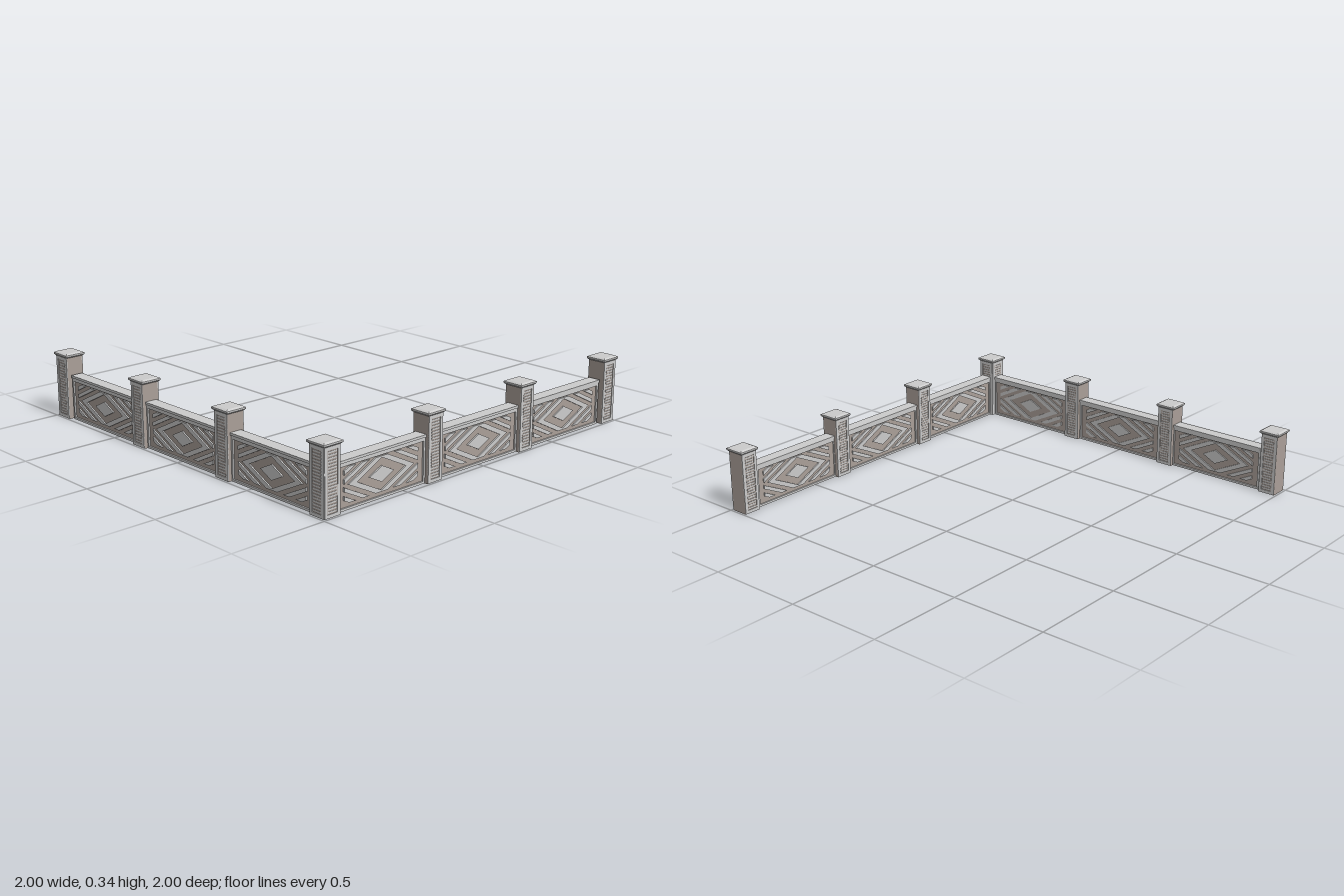
import * as THREE from 'three';
import { mergeGeometries } from 'three/addons/utils/BufferGeometryUtils.js';

const trim = new THREE.MeshStandardMaterial({ color: 0xcccccc, flatShading: true });
const stone = new THREE.MeshStandardMaterial({ color: 0xaa9f98, flatShading: true });

const box = (w, h, d, x, y, z) => new THREE.BoxGeometry(w, h, d).translate(x, y, z);

function part(parent, name, geometries, material) {
  const mesh = new THREE.Mesh(mergeGeometries(geometries), material);
  mesh.name = name;
  parent.add(mesh);
  return mesh;
}

// Four bars around an opening, lying on the plane z
function frame(w, y0, y1, bar, depth, z) {
  const mid = (y0 + y1) / 2;
  return [
    box(w, bar, depth, 0, y0 + bar / 2, z),
    box(w, bar, depth, 0, y1 - bar / 2, z),
    ...[-1, 1].map(s => box(bar, y1 - y0 - 2 * bar, depth, s * (w - bar) / 2, mid, z)),
  ];
}

// Quarter of a diamond band a < x + 2y < b, clipped to a rectangle
function bandQuarter(a, b, W, H, sx, sy) {
  const top = c => { const y = Math.min(H, c / 2); return [c - 2 * y, y]; };
  const side = c => { const x = Math.min(W, c); return [x, (c - x) / 2]; };
  const pts = [top(a)];
  if (a / 2 < H && b / 2 > H) pts.push([0, H]);
  pts.push(top(b), side(b));
  if (a < W && b > W) pts.push([W, 0]);
  if (a > 0) pts.push(side(a));
  return new THREE.Shape(pts.map(([x, y]) => new THREE.Vector2(x * sx, y * sy)));
}

// Carved diamond relief for one panel face
function diamondRelief() {
  const bands = [[0, 0.075], [0.15, 0.2], [0.24, 0.28], [0.32, 0.36]];
  const shapes = [];
  for (const [a, b] of bands)
    for (const sx of [-1, 1])
      for (const sy of [-1, 1]) shapes.push(bandQuarter(a, b, 0.225, 0.082, sx, sy));
  return new THREE.ExtrudeGeometry(shapes, { depth: 0.008, bevelEnabled: false })
    .translate(0, 0.112, 0.018);
}

function createPanel(w) {
  const panel = new THREE.Group();
  panel.name = 'panel';
  part(panel, 'panelCore', [box(w, 0.213, 0.038, 0, 0.1065, 0)], stone);
  part(panel, 'topRail', [
    box(w, 0.012, 0.064, 0, 0.224, 0),
    box(w, 0.007, 0.056, 0, 0.2145, 0),
  ], trim);
  for (const turn of [0, Math.PI]) {
    part(panel, 'panelBorder', frame(w, 0, 0.211, 0.011, 0.009, 0.0225), trim).rotation.y = turn;
    part(panel, 'diamondRelief', [diamondRelief()], trim).rotation.y = turn;
  }
  return panel;
}

// Raised border and slats on two opposite faces of a post
function postOrnament() {
  const group = new THREE.Group();
  group.name = 'postOrnament';
  for (const turn of [0, Math.PI]) {
    const pieces = frame(0.09, 0.002, 0.318, 0.016, 0.005, 0.0455);
    for (let i = 0; i < 20; i++) pieces.push(box(0.05, 0.007, 0.004, 0, 0.027 + i * 0.014, 0.0445));
    part(group, 'postSlats', pieces, trim).rotation.y = turn;
  }
  return group;
}

function createPost() {
  const post = new THREE.Group();
  post.name = 'post';
  part(post, 'postBody', [box(0.09, 0.322, 0.09, 0, 0.161, 0)], stone);
  // Square stepped cap
  const profile = [[0, 0.318], [0.048, 0.318], [0.055, 0.325], [0.055, 0.333], [0.043, 0.339], [0, 0.339]]
    .map(([r, y]) => new THREE.Vector2(r * Math.SQRT2, y));
  const cap = new THREE.LatheGeometry(profile, 4).rotateY(Math.PI / 4);
  part(post, 'postCap', [cap], trim);
  return post;
}

// A straight run of three panels and four posts along x
function createRun(name, withCorner) {
  const run = new THREE.Group();
  run.name = name;
  [-0.945, -0.318, 0.31, 0.945].forEach((x, i) => {
    const ornament = postOrnament();
    ornament.position.x = x;
    run.add(ornament);
    if (i === 0 && !withCorner) return;
    const post = createPost();
    post.position.x = x;
    run.add(post);
  });
  for (const x of [-0.632, -0.004, 0.617]) {
    const panel = createPanel(0.54);
    panel.position.x = x;
    run.add(panel);
  }
  return run;
}

export function createModel() {
  const model = new THREE.Group();
  model.name = 'cornerFence';
  const front = createRun('frontRun', true);
  front.position.z = 0.945;
  // The second run shares the corner post
  const side = createRun('sideRun', false);
  side.rotation.y = Math.PI / 2;
  side.position.x = -0.945;
  model.add(front, side);
  return model;
}
